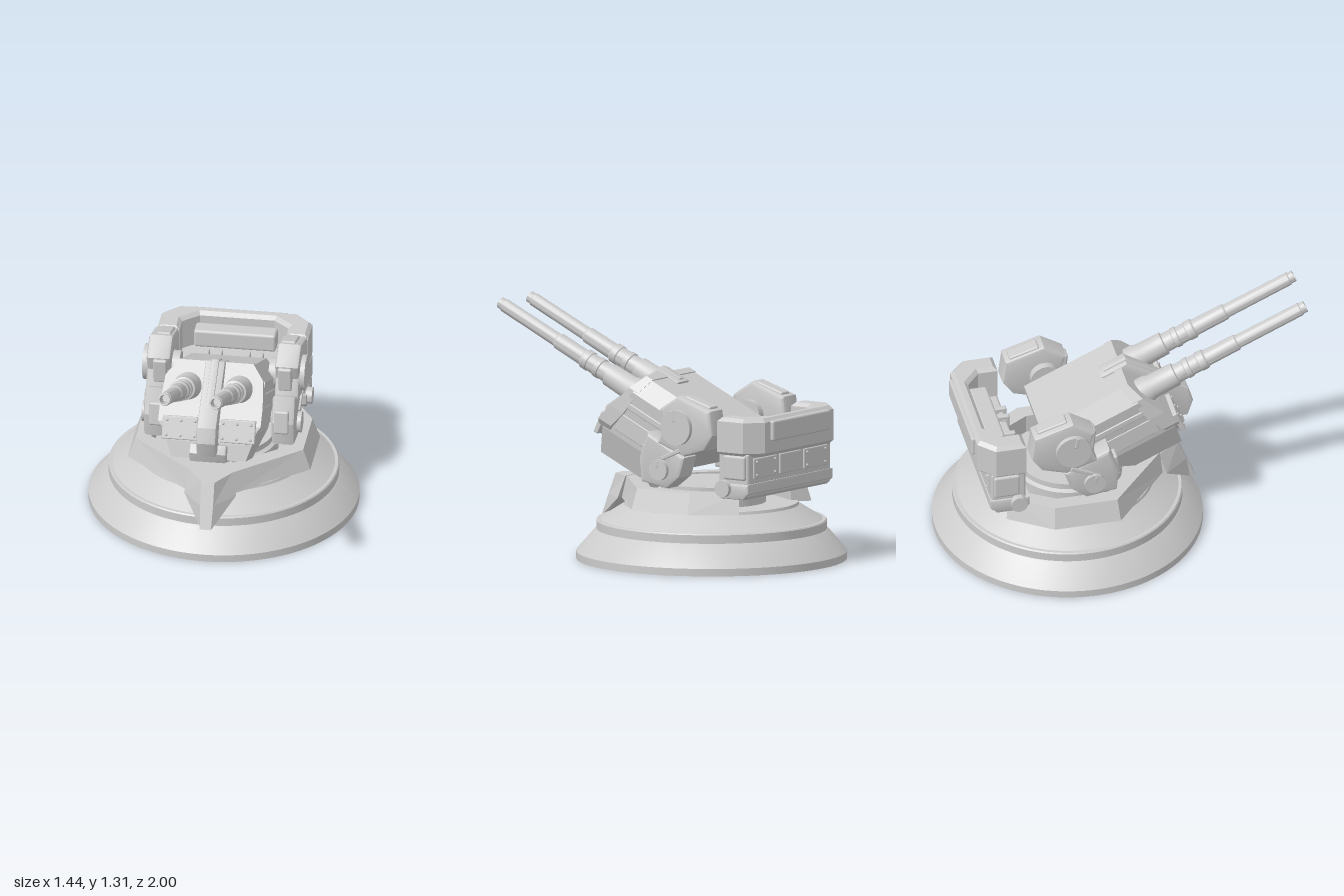
import * as THREE from 'three';
import { toCreasedNormals } from 'three/addons/utils/BufferGeometryUtils.js';
import { RoundedBoxGeometry } from 'three/addons/geometries/RoundedBoxGeometry.js';

const mat = new THREE.MeshStandardMaterial({ color: 0xcccccc });
const CZ = -0.28; // turntable centre

function add(parent, name, geo, x = 0, y = 0, z = 0) {
  const m = new THREE.Mesh(geo, mat);
  m.name = name;
  m.position.set(x, y, z);
  parent.add(m);
  return m;
}

const lathe = (pts, seg = 32) =>
  toCreasedNormals(new THREE.LatheGeometry(pts.map(p => new THREE.Vector2(...p)), seg), 0.5);

const rbox = (w, h, d, r = 0.012) => new RoundedBoxGeometry(w, h, d, 2, r);

// Cylinder lying along x
const discX = (r, len) => toCreasedNormals(new THREE.CylinderGeometry(r, r, len, 32).rotateZ(Math.PI / 2), 0.6);

// Side profile of [z, y] points, extruded across x and centred on x = 0
function slabX(profile, width, bevel = 0.015) {
  const shape = new THREE.Shape(profile.map(p => new THREE.Vector2(...p)));
  const g = new THREE.ExtrudeGeometry(shape, {
    depth: width - 2 * bevel, bevelSize: bevel,
    bevelThickness: bevel, bevelOffset: -bevel, bevelSegments: 2,
  });
  g.rotateY(-Math.PI / 2);
  return toCreasedNormals(g.translate(width / 2 - bevel, 0, 0), 0.4);
}

// Plan outline of [x, z] points, extruded upward from y0 to y1
function slabY(plan, y0, y1, bevel = 0.02) {
  const shape = new THREE.Shape(plan.map(([x, z]) => new THREE.Vector2(x, -z)));
  const g = new THREE.ExtrudeGeometry(shape, {
    depth: y1 - y0 - 2 * bevel, bevelSize: bevel, bevelThickness: bevel,
    bevelOffset: -bevel, bevelSegments: 1,
  });
  return toCreasedNormals(g.rotateX(-Math.PI / 2).translate(0, y0 + bevel, 0), 0.3);
}

// Closed solid through rings of four points, always facing outward
function loft(rings) {
  const tris = [];
  const quad = (a, b, c, d) => tris.push([a, b, c], [a, c, d]);
  for (let i = 0; i < rings.length - 1; i++)
    for (let j = 0; j < 4; j++) {
      const k = (j + 1) % 4;
      quad(rings[i][j], rings[i][k], rings[i + 1][k], rings[i + 1][j]);
    }
  const last = rings[rings.length - 1];
  quad(rings[0][3], rings[0][2], rings[0][1], rings[0][0]);
  quad(...last);
  const V = p => new THREE.Vector3(...p);
  const volume = tris.reduce((s, [a, b, c]) => s + V(a).dot(V(b).cross(V(c))), 0);
  if (volume < 0) tris.forEach(t => t.reverse());
  const g = new THREE.BufferGeometry();
  g.setAttribute('position', new THREE.Float32BufferAttribute(tris.flat(2), 3));
  g.computeVertexNormals();
  return g;
}

// Solid from levels of [height, half width, front, back]
const levels = list => loft(list.map(([y, w, f, b]) => [[w, y, f], [w, y, b], [-w, y, b], [-w, y, f]]));

function buildBase(root) {
  const base = new THREE.Group();
  base.name = 'base';
  root.add(base);
  // Thin stepped skirt, open underneath
  add(base, 'skirt', lathe([[0, 0.285], [0.455, 0.285], [0.57, 0.2], [0.595, 0.2], [0.595, 0.155], [0.7, 0.035], [0.705, 0],
    [0.72, 0], [0.72, 0.04], [0.62, 0.155], [0.613, 0.16], [0.613, 0.205], [0.607, 0.212], [0.59, 0.212],
    [0.465, 0.29], [0.46, 0.305], [0, 0.305]], 96), 0, 0, CZ);
  add(base, 'undersideHub', lathe([[0, 0.27], [0.27, 0.27], [0.28, 0.285]], 48), 0, 0, CZ);
  add(base, 'turntable', lathe([[0.29, 0.3], [0.29, 0.37], [0.27, 0.38], [0.27, 0.412], [0, 0.412]], 48), 0, 0, CZ);

  // Armoured collar: outer bottom, outer top, inner top, inner bottom at each corner
  const corners = [
    [[0.13, 0.21], [0.1, 0.2], [0.05, 0.12]],
    [[0.49, -0.1], [0.45, -0.11], [0.37, -0.14]],
    [[0.49, -0.46], [0.45, -0.45], [0.37, -0.42]],
    [[0.34, -0.69], [0.31, -0.67], [0.25, -0.62]],
  ];
  for (const s of [1, -1]) {
    add(base, 'collar', loft(corners.map(([o, t, i]) => [
      [s * o[0], 0.298, o[1]], [s * t[0], 0.41, t[1]], [s * i[0], 0.41, i[1]], [s * i[0], 0.298, i[1]]])));
  }
  // Wedge-shaped prow over the front of the collar
  add(base, 'prow', loft([[0.412, 0.11, 0.2, 0.035, 0.315], [0.295, 0.14, 0.23, 0.035, 0.362], [0.175, 0.034, 0.38, 0.03, 0.41]]
    .map(([y, wb, zb, wf, zf]) => [[wb, y, zb], [wf, y, zf], [-wf, y, zf], [-wb, y, zb]])));
  add(base, 'prowRoot', rbox(0.2, 0.11, 0.14, 0.005), 0, 0.355, 0.14);
}

function buildGunHouse(root) {
  // Local +z runs along the barrels
  const gun = new THREE.Group();
  gun.name = 'gunHouse';
  gun.position.set(0, 0.75, -0.35);
  gun.rotation.x = -THREE.MathUtils.degToRad(25);
  root.add(gun);
  add(gun, 'hull', levels([[0.048, 0.2, 0.4, -0.11], [-0.04, 0.268, 0.42, -0.13],
    [-0.31, 0.25, 0.52, 0.03], [-0.46, 0.2, 0.5, 0.22]]));

  // Front shield, overlapping the hull
  add(gun, 'shield', levels([[0.055, 0.2, 0.415, 0.37], [-0.03, 0.262, 0.45, 0.39],
    [-0.17, 0.275, 0.51, 0.42], [-0.27, 0.275, 0.55, 0.46], [-0.37, 0.2, 0.545, 0.48]]));
  add(gun, 'centreRidge', slabX([[0.3, 0.03], [0.3, 0.06], [0.45, 0.06], [0.66, -0.285], [0.65, -0.37],
    [0.585, -0.44], [0.5, -0.4], [0.4, 0]], 0.105, 0.01));
  add(gun, 'ridgeStrip', slabX([[0.32, 0.05], [0.32, 0.068], [0.455, 0.068], [0.6, -0.165], [0.55, -0.16], [0.43, 0.04]], 0.04, 0.006));
  add(gun, 'chinBox', slabX([[0.24, -0.43], [0.27, -0.48], [0.52, -0.475], [0.56, -0.43], [0.55, -0.38], [0.3, -0.38]], 0.2, 0.012));

  const barrelProfile = [[0, 0.3], [0.074, 0.3], [0.074, 0.49], [0.066, 0.51], [0.063, 0.655], [0.052, 0.66],
    [0.051, 0.71], [0.056, 0.715], [0.056, 0.74], [0.05, 0.745], [0.05, 0.79], [0.054, 0.795], [0.054, 0.83],
    [0.045, 0.84], [0.044, 1.02], [0.037, 1.03], [0.036, 1.405], [0.031, 1.41], [0.031, 1.436],
    [0.024, 1.436], [0.022, 1.33], [0, 1.33]];
  for (const s of [1, -1]) {
    add(gun, 'barrel', lathe(barrelProfile).rotateX(Math.PI / 2), s * 0.137, -0.083, 0);
    // Riveted cheek plates
    add(gun, 'cheekPlate', rbox(0.19, 0.125, 0.03, 0.006), s * 0.155, -0.3, 0.547);
    for (const x of [0.075, 0.15, 0.225])
      for (const y of [-0.26, -0.34])
        add(gun, 'rivet', new THREE.SphereGeometry(0.008, 10, 8), s * x, y, 0.562);
    // Long side panels
    add(gun, 'sideRail', rbox(0.02, 0.035, 0.46, 0.006), s * 0.26, -0.12, 0.2);
    add(gun, 'sidePanel', rbox(0.02, 0.1, 0.4, 0.006), s * 0.252, -0.23, 0.24);
  }
}

function buildArms(root) {
  const upper = [[-0.22, 0.84], [-0.34, 0.917], [-0.55, 0.85], [-0.567, 0.72], [-0.51, 0.636],
    [-0.375, 0.595], [-0.205, 0.655], [-0.245, 0.76]];
  const lower = [[-0.14, 0.71], [-0.385, 0.59], [-0.35, 0.48], [-0.267, 0.415], [-0.1, 0.44], [-0.086, 0.57]];
  for (const s of [1, -1]) {
    const arm = new THREE.Group();
    arm.name = s > 0 ? 'leftArm' : 'rightArm';
    root.add(arm);
    add(arm, 'upperBracket', slabX(upper, 0.13, 0.018), s * 0.345);
    add(arm, 'lowerBracket', slabX(lower, 0.125, 0.018), s * 0.343);
    add(arm, 'trunnionDisc', discX(0.095, 0.1), s * 0.385, 0.75, -0.342);
    add(arm, 'trunnionSlot', rbox(0.012, 0.06, 0.018, 0.004), s * 0.432, 0.81, -0.325).rotation.x = 0.2;
    add(arm, 'lowerDisc', discX(0.057, 0.09), s * 0.382, 0.515, -0.225);
    add(arm, 'lowerSlot', rbox(0.012, 0.035, 0.014, 0.004), s * 0.424, 0.545, -0.218);
    add(arm, 'hullPivot', discX(0.08, 0.05), s * 0.265, 0.74, -0.342);
    add(arm, 'topPad', rbox(0.075, 0.025, 0.17, 0.01), s * 0.335, 0.882, -0.445).rotation.x = -0.3;
    add(arm, 'frontPad', rbox(0.075, 0.14, 0.04, 0.012), s * 0.335, 0.765, -0.232).rotation.x = 0.1;
    add(arm, 'kneePad', rbox(0.08, 0.13, 0.04, 0.012), s * 0.335, 0.575, -0.1).rotation.x = -0.15;
    add(arm, 'sideLatch', rbox(0.015, 0.022, 0.13, 0.005), s * 0.408, 0.6, -0.295).rotation.x = 0.42;
  }
}

function buildRearPack(root) {
  const pack = new THREE.Group();
  pack.name = 'rearPack';
  root.add(pack);
  // U-shaped upper housing
  const half = [[0.405, -0.595], [0.405, -0.76], [0.32, -0.845]];
  const inner = [[0.2, -0.775], [0.285, -0.7], [0.285, -0.595]];
  const flip = list => list.map(([x, z]) => [-x, z]).reverse();
  add(pack, 'upperHousing', slabY([...half, ...flip(half), ...flip(inner), ...inner], 0.62, 0.825));
  add(pack, 'rearPanel', rbox(0.54, 0.11, 0.04, 0.012), 0, 0.755, -0.845);
  add(pack, 'innerShelf', rbox(0.44, 0.1, 0.1, 0.015), 0, 0.72, -0.72);
  add(pack, 'lowerHousing', rbox(0.78, 0.24, 0.19, 0.015), 0, 0.52, -0.688);
  // Bottom beam with round ends
  add(pack, 'bottomBeam', slabX([[-0.575, 0.42], [-0.61, 0.39], [-0.755, 0.39], [-0.79, 0.425], [-0.79, 0.475], [-0.575, 0.475]], 0.8, 0.012));
  for (const s of [1, -1]) {
    add(pack, 'beamEnd', discX(0.045, 0.06), s * 0.395, 0.445, -0.636);
    add(pack, 'sideBlock', rbox(0.05, 0.13, 0.14, 0.012), s * 0.38, 0.56, -0.7);
    add(pack, 'rearPlate', rbox(0.22, 0.11, 0.02, 0.006), s * 0.235, 0.555, -0.782);
    for (const x of [0.15, 0.32])
      for (const y of [0.52, 0.59])
        add(pack, 'rivet', new THREE.SphereGeometry(0.008, 10, 8), s * x, y, -0.792);
    // Hinges toward the gun house
    for (const dx of [-0.035, 0.035])
      add(pack, 'hinge', rbox(0.03, 0.08, 0.09, 0.008), s * 0.11 + dx, 0.63, -0.625);
    add(pack, 'hingePin', discX(0.018, 0.11), s * 0.11, 0.63, -0.61);
  }
  add(pack, 'rearMiddlePlate', rbox(0.2, 0.11, 0.02, 0.006), 0, 0.555, -0.782);
}

export function createModel() {
  const root = new THREE.Group();
  root.name = 'twinGunTurret';
  buildBase(root);
  buildGunHouse(root);
  buildArms(root);
  buildRearPack(root);
  return root;
}
